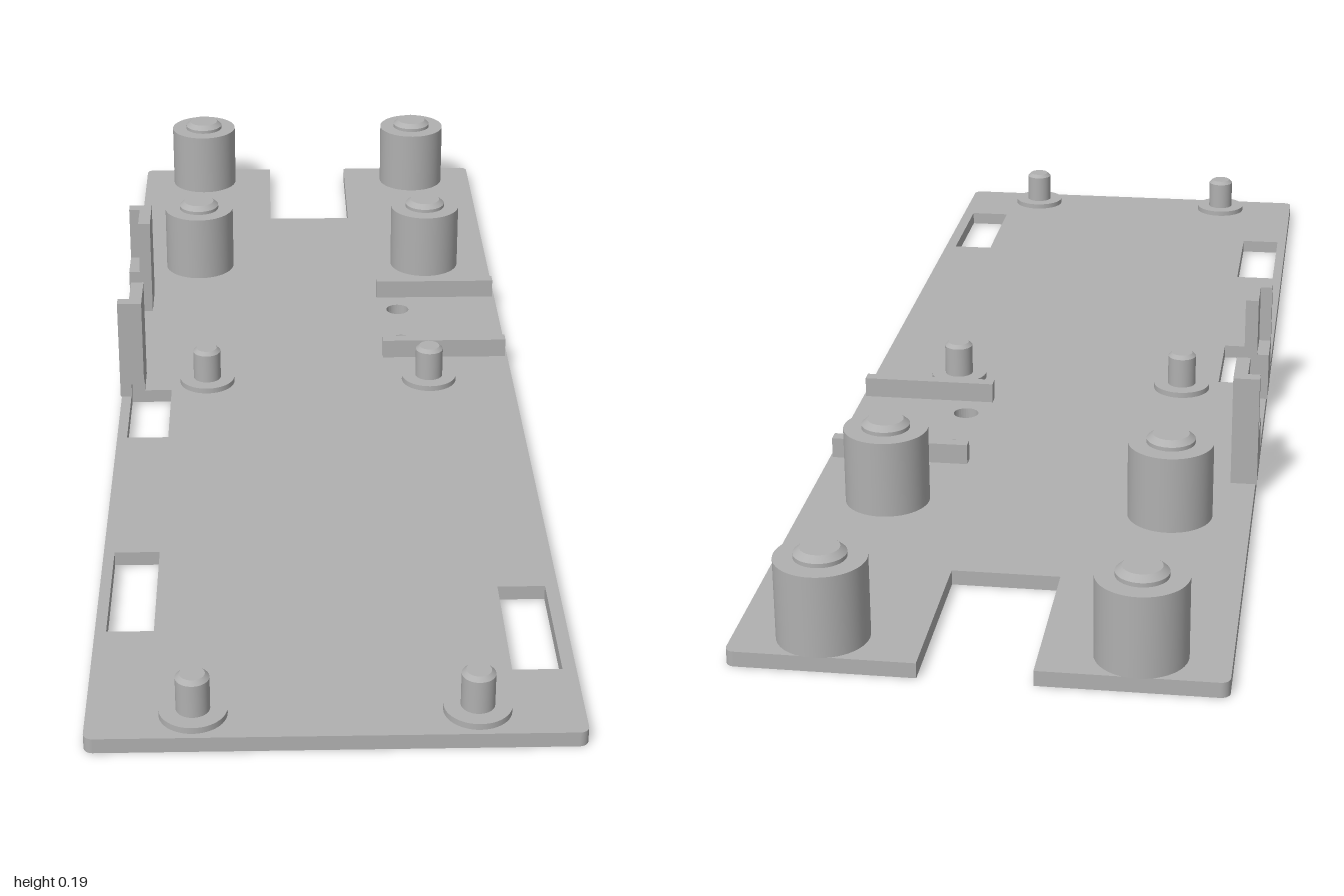
import * as THREE from 'three';

const grey = new THREE.MeshStandardMaterial({ color: 0xb0b0b0 });
grey.name = 'plainGrey';

const T = 0.022; // plate thickness

// Extrudes a plan outline (x, -z) from y0 up to y1
function slab(name, shape, y0, y1) {
  const geo = new THREE.ExtrudeGeometry(shape, { depth: y1 - y0, bevelEnabled: false, curveSegments: 16 });
  geo.rotateX(-Math.PI / 2);
  geo.translate(0, y0, 0);
  const mesh = new THREE.Mesh(geo, grey);
  mesh.name = name;
  return mesh;
}

// Closed outline from [x, z] pairs
function outline(points, Type = THREE.Shape) {
  return new Type(points.map(([x, z]) => new THREE.Vector2(x, -z)));
}

const rect = (x0, x1, z0, z1) => [[x0, z0], [x1, z0], [x1, z1], [x0, z1]];

// Round post stacked from [bottomRadius, topRadius, y0, y1] sections
function post(name, x, z, sections) {
  const group = new THREE.Group();
  group.name = name;
  for (const [r0, r1, y0, y1] of sections) {
    const mesh = new THREE.Mesh(new THREE.CylinderGeometry(r1, r0, y1 - y0, 48), grey);
    mesh.position.y = (y0 + y1) / 2;
    group.add(mesh);
  }
  group.position.set(x, 0, z);
  return group;
}

function basePlate() {
  const w = 0.332, r = 0.013;
  const s = new THREE.Shape();
  // Front edge is at shape y = -1, notched back edge at y = +1
  s.moveTo(-w + r, -1);
  s.lineTo(w - r, -1);
  s.absarc(w - r, -1 + r, r, -Math.PI / 2, 0);
  s.lineTo(w, 1 - r);
  s.absarc(w - r, 1 - r, r, 0, Math.PI / 2);
  s.lineTo(0.076, 1);
  s.lineTo(0.076, 0.735);
  s.lineTo(-0.078, 0.735);
  s.lineTo(-0.078, 1);
  s.lineTo(-w + r, 1);
  s.absarc(-w + r, 1 - r, r, Math.PI / 2, Math.PI);
  s.lineTo(-w, -1 + r);
  s.absarc(-w + r, -1 + r, r, Math.PI, Math.PI * 1.5);

  // Rectangular slots
  for (const [x0, x1, z0, z1] of [
    [-0.316, -0.249, 0.006, 0.174],
    [-0.316, -0.249, 0.533, 0.746],
    [0.244, 0.313, 0.641, 0.853],
  ]) s.holes.push(outline(rect(x0, x1, z0, z1), THREE.Path));

  // Screw holes
  for (const z of [-0.306, -0.18]) {
    const hole = new THREE.Path();
    hole.absarc(0.151, -z, 0.02, 0, Math.PI * 2);
    s.holes.push(hole);
  }
  return slab('basePlate', s, 0, T);
}

// Corner bracket: solid foot with an L-shaped wall above it, end wall at zEnd
function bracket(name, zOpen, zEnd, undercut) {
  const x0 = -0.334, x1 = -0.294, xm = -0.315;
  const zm = zEnd - Math.sign(zEnd - zOpen) * 0.02;
  const footTop = 0.1, cutTop = 0.045;
  const group = new THREE.Group();
  group.name = name;
  const full = outline(rect(x0, x1, zOpen, zEnd));
  if (undercut) {
    // Foot leaves the slot below it clear
    const cut = [[x0, zOpen], [x1, zOpen], [x1, 0.006], [xm, 0.006], [xm, zEnd], [x0, zEnd]];
    group.add(slab(name + 'Base', outline(cut), T, cutTop));
  }
  group.add(slab(name + 'Foot', full, undercut ? cutTop : T, footTop));
  const wall = [[xm, zOpen], [x1, zOpen], [x1, zEnd], [x0, zEnd], [x0, zm], [xm, zm]];
  group.add(slab(name + 'Wall', outline(wall), footTop, 0.194));
  return group;
}

export function createModel() {
  const model = new THREE.Group();
  model.name = 'mountingPlate';
  model.add(basePlate());

  for (const x of [-0.212, 0.212]) {
    // Large standoffs with a chamfered boss
    for (const z of [-0.94, -0.515]) {
      model.add(post('largeStandoff', x, z, [
        [0.063, 0.063, T, 0.139],
        [0.036, 0.036, 0.139, 0.145],
        [0.036, 0.027, 0.145, 0.153],
      ]));
    }
  }

  for (const x of [-0.189, 0.189]) {
    // Small locating pins on a flange
    for (const z of [-0.026, 0.945]) {
      model.add(post('locatingPin', x, z, [
        [0.046, 0.046, T, 0.031],
        [0.023, 0.023, 0.031, 0.08],
        [0.023, 0.017, 0.08, 0.086],
      ]));
    }
  }

  // Low ribs either side of the screw holes
  for (const z of [-0.368, -0.12]) {
    model.add(slab('rib', outline(rect(0.115, 0.328, z - 0.01, z + 0.01)), T, 0.054));
  }

  model.add(bracket('backBracket', -0.309, -0.395, false));
  model.add(bracket('frontBracket', -0.058, 0.028, true));
  return model;
}
